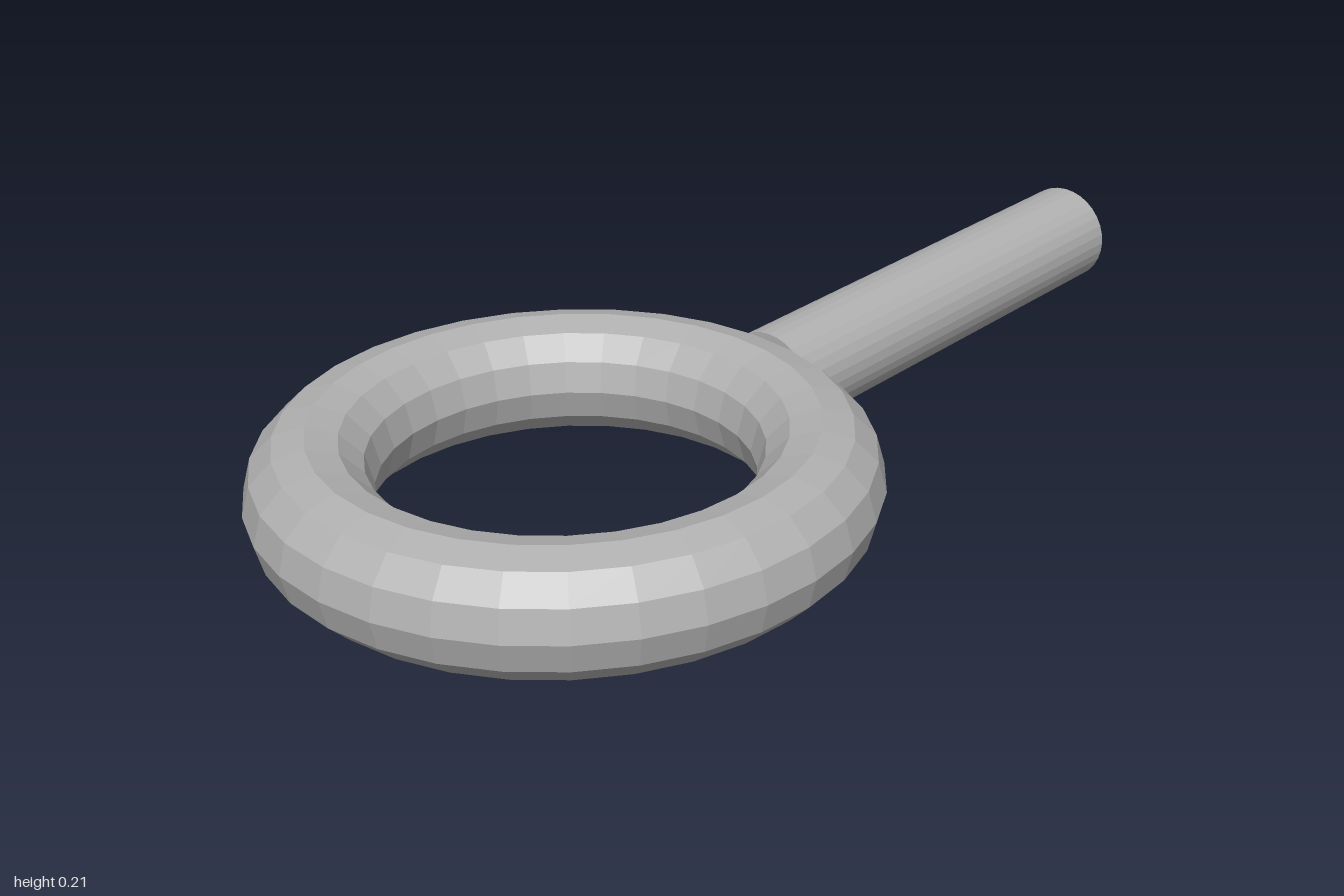
import * as THREE from 'three';

export function createModel() {
  const group = new THREE.Group();
  const grey = new THREE.MeshStandardMaterial({ color: 0xb0b0b0, flatShading: true });
  grey.name = 'grey';

  // Ring lying flat, with a faceted round section
  const ring = new THREE.Mesh(new THREE.TorusGeometry(0.423, 0.107, 12, 32), grey);
  ring.name = 'ring';
  ring.rotation.x = -Math.PI / 2;
  ring.position.set(-0.47, 0.107, 0);
  group.add(ring);

  // Straight rod butting into the ring's outer side, slightly off centre
  const start = 0.03, end = 1;
  const rod = new THREE.Mesh(new THREE.CylinderGeometry(0.097, 0.097, end - start, 32), grey);
  rod.name = 'rod';
  rod.rotation.z = -Math.PI / 2;
  rod.position.set((start + end) / 2, 0.1, 0.017);
  group.add(rod);

  return group;
}
